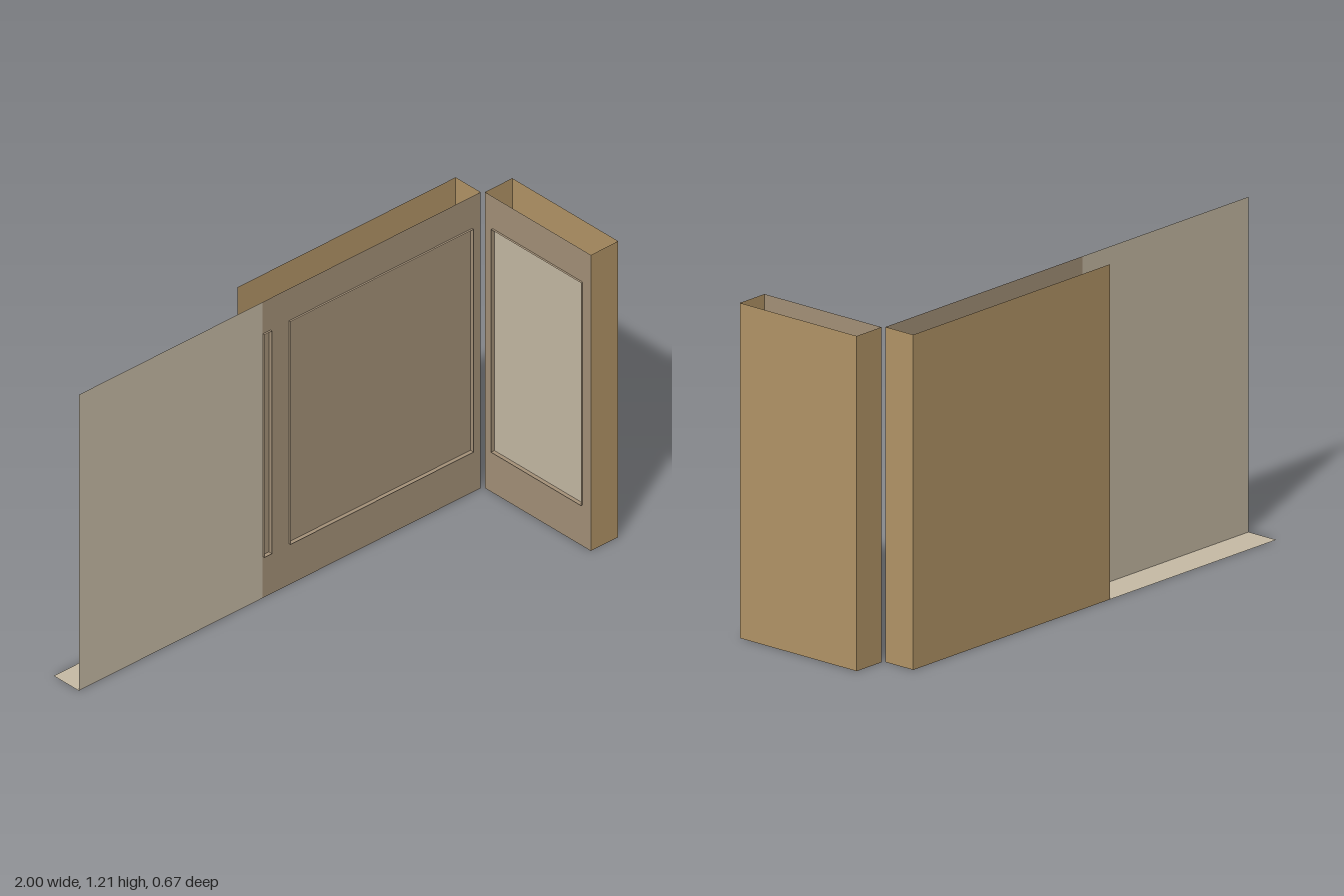
import * as THREE from 'three';

const H = 1.205, BACK = -0.335, FACE = -0.209, SPLIT = -0.148;
const P0 = 0.168, P1 = 1.075; // panel bottom and top

function material(name, color) {
  const m = new THREE.MeshStandardMaterial({ color, side: THREE.DoubleSide });
  m.name = name;
  return m;
}

// Flat rectangular sheet in local x/y, with optional rectangular openings
function sheet(x0, x1, y0, y1, holes = []) {
  const rect = (C, a, b, c, d) =>
    new C([[a, c], [b, c], [b, d], [a, d]].map(p => new THREE.Vector2(...p)));
  const s = rect(THREE.Shape, x0, x1, y0, y1);
  for (const h of holes) s.holes.push(rect(THREE.Path, ...h));
  return new THREE.ShapeGeometry(s);
}

export function createModel() {
  const model = new THREE.Group();
  const tan = material('tan', 0xb59768);
  const beige = material('beige', 0xc8bca6);
  const brown = material('brown', 0xa6937a);

  const add = (parent, name, geo, mat) => {
    const mesh = new THREE.Mesh(geo, mat);
    mesh.name = name;
    parent.add(mesh);
  };
  // Sheets facing z, x and y
  const zWall = (g, name, mat, x0, x1, z, holes) =>
    add(g, name, sheet(x0, x1, 0, H, holes).translate(0, 0, z), mat);
  const xWall = (g, name, mat, z0, z1, x, holes) =>
    add(g, name, sheet(z0, z1, 0, H, holes).rotateY(-Math.PI / 2).translate(x, 0, 0), mat);
  const floor = (g, name, mat, x0, x1, z0, z1) =>
    add(g, name, sheet(x0, x1, -z1, -z0).rotateX(-Math.PI / 2), mat);

  // Recessed panel with a shallow rim on both sides of its wall (local x/y, facing z)
  function panel(g, name, x0, x1, mat, rimMat, place) {
    const d = 0.008;
    add(g, name, place(sheet(x0, x1, P0, P1).translate(0, 0, -d)), mat);
    for (const x of [x0, x1])
      add(g, name + 'Rim', place(sheet(-d, d, P0, P1).rotateY(-Math.PI / 2).translate(x, 0, 0)), rimMat);
    for (const y of [P0, P1])
      add(g, name + 'Rim', place(sheet(x0, x1, -d, d).rotateX(-Math.PI / 2).translate(0, y, 0)), rimMat);
  }

  // Long wall: plain section, then panelled section with a hollow back
  const long = new THREE.Group();
  long.name = 'longWall';
  model.add(long);
  const strip = [SPLIT + 0.001, -0.112], main = [-0.027, 0.822];
  zWall(long, 'plainFace', beige, -1, SPLIT, FACE);
  floor(long, 'plainBase', beige, -1, SPLIT, BACK, FACE);
  zWall(long, 'panelledFace', brown, SPLIT, 0.862, FACE,
    [[...strip, P0, P1], [...main, P0, P1]]);
  zWall(long, 'backSheet', tan, SPLIT, 0.862, BACK);
  xWall(long, 'endSheet', tan, BACK, FACE, 0.862);
  floor(long, 'panelledBase', tan, SPLIT, 0.862, BACK, FACE);
  const toFace = geo => geo.translate(0, 0, FACE);
  panel(long, 'narrowPanel', ...strip, brown, brown, toFace);
  panel(long, 'mainPanel', ...main, brown, brown, toFace);

  // Short return wall, open at the top
  const side = new THREE.Group();
  side.name = 'returnWall';
  model.add(side);
  const X0 = 0.873, Z0 = -0.2, Z1 = 0.333, inset = [-0.16, 0.292];
  xWall(side, 'innerFace', brown, Z0, Z1, X0, [[...inset, P0, P1]]);
  xWall(side, 'outerFace', tan, Z0, Z1, 1);
  zWall(side, 'frontEnd', tan, X0, 1, Z1);
  zWall(side, 'backEnd', tan, X0, 1, Z0);
  floor(side, 'returnBase', tan, X0, 1, Z0, Z1);
  panel(side, 'returnPanel', ...inset, beige, brown,
    geo => geo.rotateY(-Math.PI / 2).translate(X0, 0, 0));

  return model;
}
